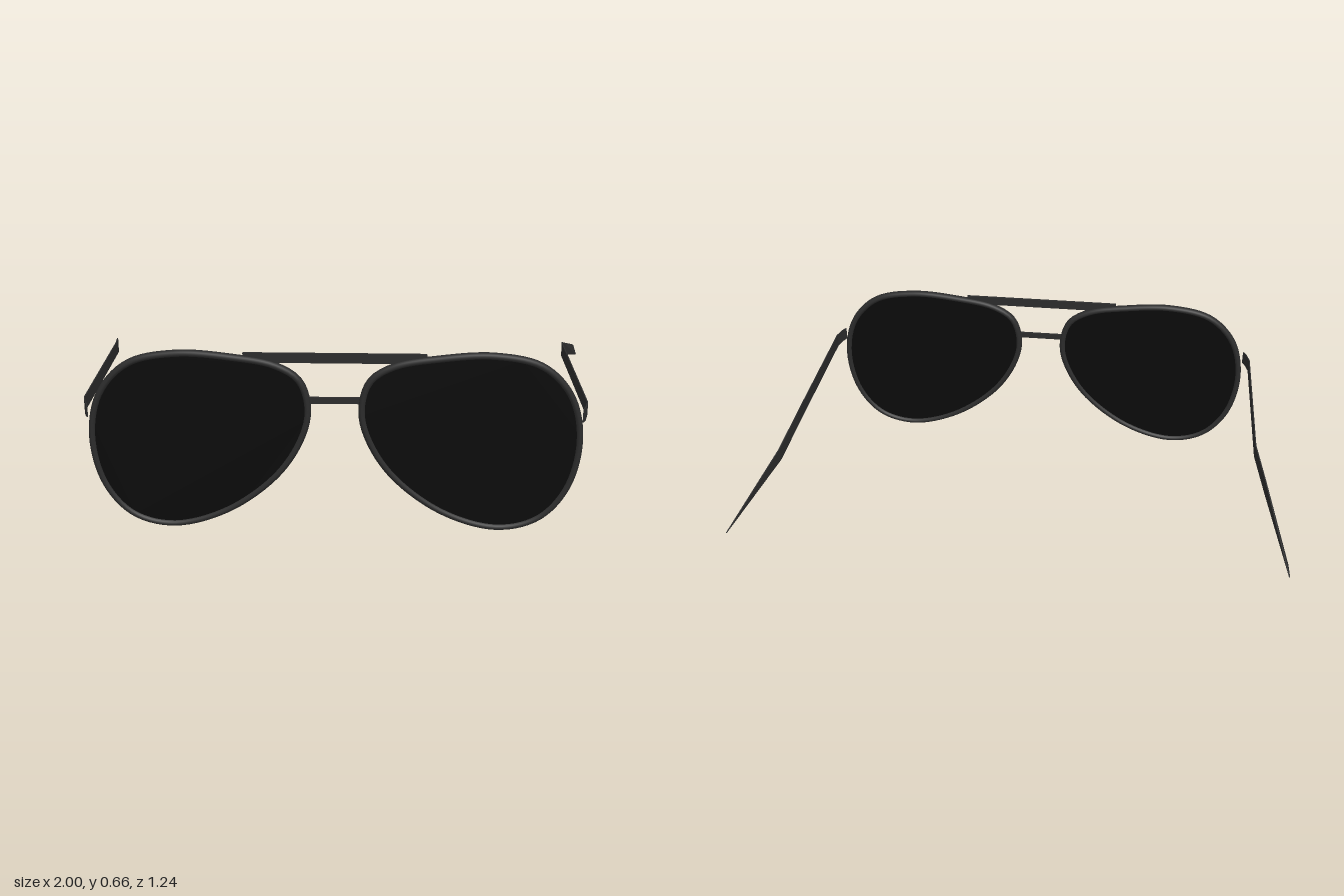
import * as THREE from 'three';

const FRONT_Z = 0.605;

// Outer rim centreline of the left lens (+x side)
const OUTLINE = [
  [0.092, 0.45], [0.12, 0.555], [0.2, 0.609], [0.35, 0.638], [0.54, 0.65], [0.7, 0.614],
  [0.8, 0.51], [0.837, 0.35], [0.802, 0.17], [0.71, 0.056], [0.57, 0.018],
  [0.38, 0.072], [0.205, 0.205], [0.118, 0.34],
];

// Temple ribbon stations: [x, z, y] of the upper edge, then of the lower edge
const temple = (xHinge, xBend, xKink) => [
  [[xHinge - 0.01, 0.605, 0.465], [xHinge - 0.01, 0.605, 0.415]],
  [[xHinge, 0.585, 0.465], [xHinge, 0.585, 0.415]],
  [[xHinge + 0.012, 0.54, 0.465], [xHinge + 0.012, 0.54, 0.415]],
  [[xBend, -0.09, 0.465], [xBend, -0.09, 0.415]],
  [[xKink, -0.26, 0.415], [xKink, -0.25, 0.363]],
  [[0.999, -0.622, 0.285], [0.999, -0.535, 0.27]],
];

// Thin closed strip built from four-cornered cross-sections
function ribbon(stations, side, thickness) {
  const rings = stations.map(([a, b]) => [[a, 0], [b, 0], [b, 1], [a, 1]].map(
    ([[x, z, y], inner]) => new THREE.Vector3(side * (x - inner * thickness), y, z)));
  const pos = [];
  const quad = (a, b, c, d) => [a, b, c, a, c, d].forEach((v) => pos.push(v.x, v.y, v.z));
  for (let i = 0; i < rings.length - 1; i++) {
    for (let j = 0; j < 4; j++) {
      const k = (j + 1) % 4, p = rings[i], q = rings[i + 1];
      if (side > 0) quad(p[j], p[k], q[k], q[j]);
      else quad(p[j], q[j], q[k], p[k]);
    }
  }
  [rings[0], rings[rings.length - 1]].forEach((r) => quad(...r));
  const g = new THREE.BufferGeometry();
  g.setAttribute('position', new THREE.Float32BufferAttribute(pos, 3));
  g.computeVertexNormals();
  return g;
}

export function createModel() {
  const model = new THREE.Group();
  model.name = 'sunglasses';
  const frameMat = new THREE.MeshStandardMaterial({ color: 0x2c2c2c, side: THREE.DoubleSide });
  const lensMat = new THREE.MeshStandardMaterial({ color: 0x0a0a0a });

  const add = (name, geometry, material) => {
    const mesh = new THREE.Mesh(geometry, material);
    mesh.name = name;
    model.add(mesh);
    return mesh;
  };

  for (const side of [1, -1]) {
    const label = side > 0 ? 'left' : 'right';
    const pts = OUTLINE.map(([x, y]) => new THREE.Vector3(side * x, y, 0));
    const curve = new THREE.CatmullRomCurve3(pts, true, 'centripetal');

    // Rim, deeper than it is wide
    const rim = new THREE.TubeGeometry(curve, 96, 0.012, 10, true);
    rim.scale(1, 1, 1.4);
    rim.translate(0, 0, FRONT_Z);
    add(label + 'Rim', rim, frameMat);

    // Flat dark lens
    const shape = new THREE.Shape(curve.getPoints(96).slice(0, -1).map((p) => new THREE.Vector2(p.x, p.y)));
    const lens = new THREE.ExtrudeGeometry(shape, { depth: 0.014, bevelEnabled: false });
    lens.translate(0, 0, FRONT_Z - 0.007);
    add(label + 'Lens', lens, lensMat);

    // Temple arm, bending outward and down to a pointed tip
    const stations = side > 0 ? temple(0.857, 0.87, 0.895) : temple(0.862, 0.882, 0.92);
    add(label + 'Temple', ribbon(stations, side, 0.004), frameMat);
  }

  // Brow bar and nose bridge joining the two rims
  add('browBar', new THREE.BoxGeometry(0.62, 0.034, 0.01), frameMat).position.set(0, 0.638, FRONT_Z);
  add('noseBridge', new THREE.BoxGeometry(0.19, 0.022, 0.01), frameMat).position.set(0, 0.486, FRONT_Z);

  return model;
}
